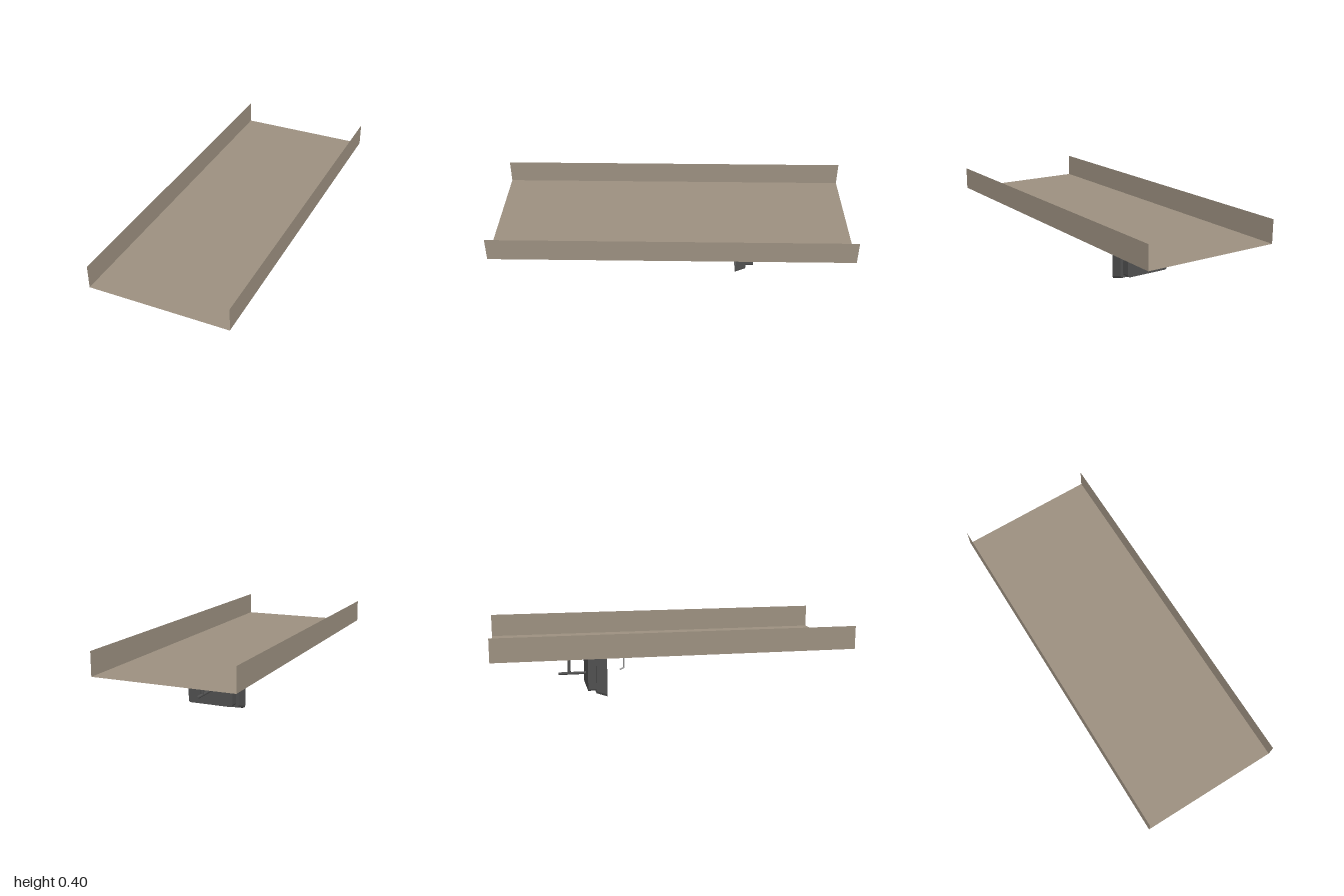
import * as THREE from 'three';

const TOP = 0.27; // height of the panel floor

function mat(name, color, double = false) {
  const m = new THREE.MeshStandardMaterial({ color });
  m.name = name;
  if (double) m.side = THREE.DoubleSide;
  return m;
}

// U-shaped section with softened lower corners, open at the top
function section(w, bottom, z, r) {
  const half = [[w, TOP - 0.001], [w, bottom + r], [w - r * 0.3, bottom + r * 0.3], [w - r, bottom]];
  const left = half.map(([x, y]) => [-x, y, z]);
  const right = half.map(([x, y]) => [x, y, z]).reverse();
  return [...left, ...right];
}

// Flat-faced skin through consecutive sections
function loft(sections) {
  const pos = [];
  for (let s = 0; s < sections.length - 1; s++) {
    const a = sections[s], b = sections[s + 1];
    for (let i = 0; i < a.length - 1; i++) {
      pos.push(...a[i], ...a[i + 1], ...b[i], ...a[i + 1], ...b[i + 1], ...b[i]);
    }
  }
  const g = new THREE.BufferGeometry();
  g.setAttribute('position', new THREE.Float32BufferAttribute(pos, 3));
  g.computeVertexNormals();
  return g;
}

// Flat cap filling one section
function cap(sec, back) {
  const shape = new THREE.Shape(sec.map(([x, y]) => new THREE.Vector2(x, y)));
  const g = new THREE.ShapeGeometry(shape);
  if (back) g.rotateY(Math.PI);
  return g.translate(0, 0, sec[0][2]);
}

export function createModel() {
  const model = new THREE.Group();
  const tan = mat('tan panel', 0x9c9080, true);
  const light = mat('light grey', 0xa0a0a0, true);
  const dark = mat('dark grey', 0x505050, true);
  const black = mat('black', 0x222222);

  const add = (name, geo, material, x = 0, y = 0, z = 0, parent = model) => {
    const m = new THREE.Mesh(geo, material);
    m.name = name;
    m.position.set(x, y, z);
    parent.add(m);
    return m;
  };
  const group = (name) => {
    const g = new THREE.Group();
    g.name = name;
    model.add(g);
    return g;
  };

  // Thin channel panel: floor with two upright sides
  const panel = group('channelPanel');
  add('panelFloor', new THREE.PlaneGeometry(0.78, 2).rotateX(-Math.PI / 2), tan, 0, TOP, 0, panel);
  for (const side of [-1, 1]) {
    add(side > 0 ? 'leftWall' : 'rightWall',
      new THREE.PlaneGeometry(2, 0.13).rotateY(side * Math.PI / 2), tan, side * 0.39, TOP + 0.065, 0, panel);
  }

  // Shallow box with an oval plate underneath
  const tray = group('shallowBox');
  add('boxBody', new THREE.BoxGeometry(0.21, 0.034, 0.315), black, 0, TOP - 0.018, 0.103, tray);
  const lens = add('ovalPlate', new THREE.CylinderGeometry(1, 1, 0.002, 24), light, 0, 0.234, 0.13, tray);
  lens.scale.set(0.088, 1, 0.11);

  // Hanging hood with a recessed screen
  const hood = group('hood');
  const back = section(0.13, 0.03, -0.47, 0.012);
  const rimOuter = section(0.159, 0.0, -0.365, 0.015);
  const rimInner = section(0.13, 0.033, -0.365, 0.004);
  const screen = section(0.093, 0.065, -0.445, 0.003);
  add('hoodShell', loft([back, section(0.13, 0.03, -0.425, 0.012),
    section(0.147, 0.018, -0.425, 0.014), rimOuter]), dark, 0, 0, 0, hood);
  add('hoodBack', cap(back, true), dark, 0, 0, 0, hood);
  add('hoodRim', loft([rimOuter, rimInner]), light, 0, 0, 0, hood);
  add('hoodRecess', loft([rimInner, screen]), dark, 0, 0, 0, hood);
  add('screen', cap(screen, false), light, 0, 0, 0, hood);

  // Small latch: base plate, round boss, pin and bent lever
  const latch = group('latch');
  add('latchPlate', new THREE.BoxGeometry(0.165, 0.004, 0.06), dark, 0, TOP - 0.003, -0.25, latch);
  add('latchBoss', new THREE.CylinderGeometry(0.021, 0.021, 0.065, 24), dark, 0, 0.2365, -0.248, latch);
  add('latchPin', new THREE.BoxGeometry(0.012, 0.004, 0.045), dark, 0, 0.206, -0.283, latch);
  add('leverStrip', new THREE.BoxGeometry(0.022, 0.075, 0.004), light, 0, 0.167, -0.25, latch);
  const tip = add('leverTip', new THREE.BoxGeometry(0.022, 0.004, 0.026), light, 0, 0.124, -0.262, latch);
  tip.rotation.x = -0.45;

  // Support post with flange and cross bar
  const post = group('supportPost');
  add('postFlange', new THREE.CylinderGeometry(0.03, 0.03, 0.005, 20), dark, 0, TOP - 0.0035, -0.567, post);
  add('postRod', new THREE.CylinderGeometry(0.009, 0.009, 0.16, 16), dark, 0, 0.188, -0.566, post);
  add('crossBar', new THREE.CylinderGeometry(0.008, 0.008, 0.16, 16).rotateX(Math.PI / 2), dark, 0, 0.109, -0.546, post);

  return model;
}
